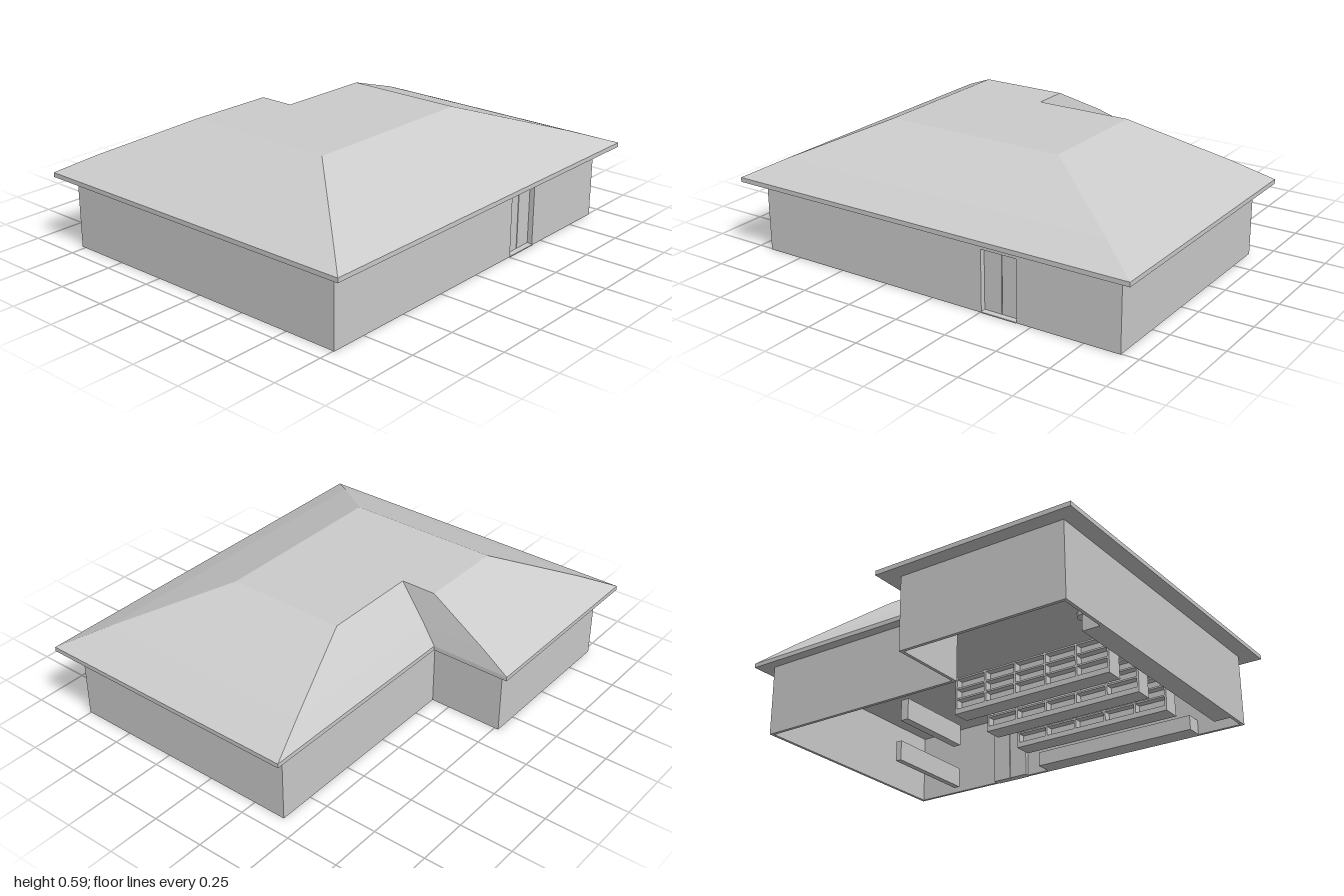
import * as THREE from 'three';

const grey = new THREE.MeshStandardMaterial({ color: 0xcccccc, flatShading: true, side: THREE.DoubleSide });

// Box given by its limits on each axis
function box(parent, name, x0, x1, y0, y1, z0, z1) {
  const mesh = new THREE.Mesh(new THREE.BoxGeometry(x1 - x0, y1 - y0, z1 - z0), grey);
  mesh.position.set((x0 + x1) / 2, (y0 + y1) / 2, (z0 + z1) / 2);
  mesh.name = name;
  parent.add(mesh);
  return mesh;
}

function group(parent, name) {
  const g = new THREE.Group();
  g.name = name;
  parent.add(g);
  return g;
}

// Hipped L-shaped roof: matching six-corner rings from the eave up to the flat top
function makeRoof() {
  const eave = [[-1, 0.84], [1, 0.84], [1, -0.46], [-0.05, -0.46], [-0.05, -0.84], [-1, -0.84]];
  const crown = [[-0.525, 0.335], [0.36, 0.335], [0.36, -0.24], [-0.105, -0.24], [-0.105, -0.41], [-0.525, -0.41]];
  const ring = (t, y) => eave.map(([x, z], i) =>
    new THREE.Vector3(x + (crown[i][0] - x) * t, y, z + (crown[i][1] - z) * t));
  const rings = [ring(0, 0.342), ring(0, 0.363), ring(0.3, 0.437), ring(1, 0.59)];
  const points = [];
  for (let r = 0; r < rings.length - 1; r++) {
    for (let i = 0; i < 6; i++) {
      const j = (i + 1) % 6;
      const [a, b, c, d] = [rings[r][i], rings[r][j], rings[r + 1][j], rings[r + 1][i]];
      points.push(a, b, c, a, c, d);
    }
  }
  // Flat crown and soffit
  const cap = (loop, up) => {
    const flat = loop.map(p => new THREE.Vector2(p.x, -p.z));
    for (const [a, b, c] of THREE.ShapeUtils.triangulateShape(flat, [])) {
      points.push(loop[a], loop[up ? b : c], loop[up ? c : b]);
    }
  };
  cap(rings[3], true);
  cap(rings[0], false);
  const geometry = new THREE.BufferGeometry().setFromPoints(points);
  geometry.computeVertexNormals();
  const roof = new THREE.Mesh(geometry, grey);
  roof.name = 'roof';
  return roof;
}

// Double-sided shelf row running along x
function shelfRow(parent, x0, x1, z) {
  const g = group(parent, 'shelfRow');
  box(g, 'shelfBase', x0, x1, 0, 0.025, z - 0.045, z + 0.045);
  box(g, 'shelfBack', x0, x1, 0.025, 0.18, z - 0.005, z + 0.005);
  for (const y of [0.07, 0.12, 0.17]) box(g, 'shelfBoard', x0, x1, y, y + 0.008, z - 0.04, z + 0.04);
  for (let i = 0; i <= 5; i++) {
    const x = x0 + (x1 - x0 - 0.01) * i / 5;
    box(g, 'shelfDivider', x, x + 0.01, 0.025, 0.18, z - 0.042, z + 0.042);
  }
}

export function createModel() {
  const model = new THREE.Group();
  model.name = 'house';
  const H = 0.342, T = 0.015;
  const L = -0.925, R = 0.92, F = 0.755, B = -0.77, NX = -0.13, NZ = -0.41;
  const D0 = 0.255, D1 = 0.43, DH = 0.285;

  // Outer walls, with an opening for the entrance
  const walls = group(model, 'walls');
  box(walls, 'frontWallA', L, D0, 0, H, F - T, F);
  box(walls, 'frontWallB', D1, R, 0, H, F - T, F);
  box(walls, 'frontLintel', D0, D1, DH, H, F - T, F);
  box(walls, 'leftSideWall', R - T, R, 0, H, NZ, F - T);
  box(walls, 'rightSideWall', L, L + T, 0, H, B, F - T);
  box(walls, 'rearWall', NX, R - T, 0, H, NZ, NZ + T);
  box(walls, 'wingSideWall', NX - T, NX, 0, H, B, NZ + T);
  box(walls, 'wingRearWall', L + T, NX - T, 0, H, B, B + T);

  // Recessed entrance: jambs, paired door leaves and threshold
  const entrance = group(model, 'entrance');
  for (const x of [D0 - 0.008, D1]) box(entrance, 'jamb', x, x + 0.008, 0, DH, F - 0.035, F - T);
  const mid = (D0 + D1) / 2;
  box(entrance, 'doorLeaf', D0, mid - 0.002, 0, DH, F - 0.035, F - 0.025);
  box(entrance, 'doorLeaf', mid + 0.002, D1, 0, DH, F - 0.035, F - 0.025);
  box(entrance, 'threshold', D0, D1, 0, 0.005, F - 0.025, F + 0.004);

  model.add(makeRoof());

  // Interior shelf rows
  const interior = group(model, 'interior');
  for (const z of [0.44, 0.19, -0.06]) shelfRow(interior, -0.72, 0.08, z);

  // Shelving along the front and right walls
  box(interior, 'frontWallCabinet', -0.7, 0.13, 0, 0.07, 0.66, F - T);
  box(interior, 'rightWallCabinet', L + T, -0.83, 0, 0.07, -0.5, 0.64);

  // Counters near the entrance
  box(interior, 'counter', 0.28, 0.32, 0, 0.1, -0.19, 0.21);
  box(interior, 'counter', 0.63, 0.66, 0, 0.1, 0.2, 0.68);

  // Round ceiling lamp
  const lamp = new THREE.Mesh(new THREE.CylinderGeometry(0.04, 0.04, 0.02, 16), grey);
  lamp.position.set(-0.58, 0.332, -0.04);
  lamp.name = 'ceilingLamp';
  interior.add(lamp);

  return model;
}
